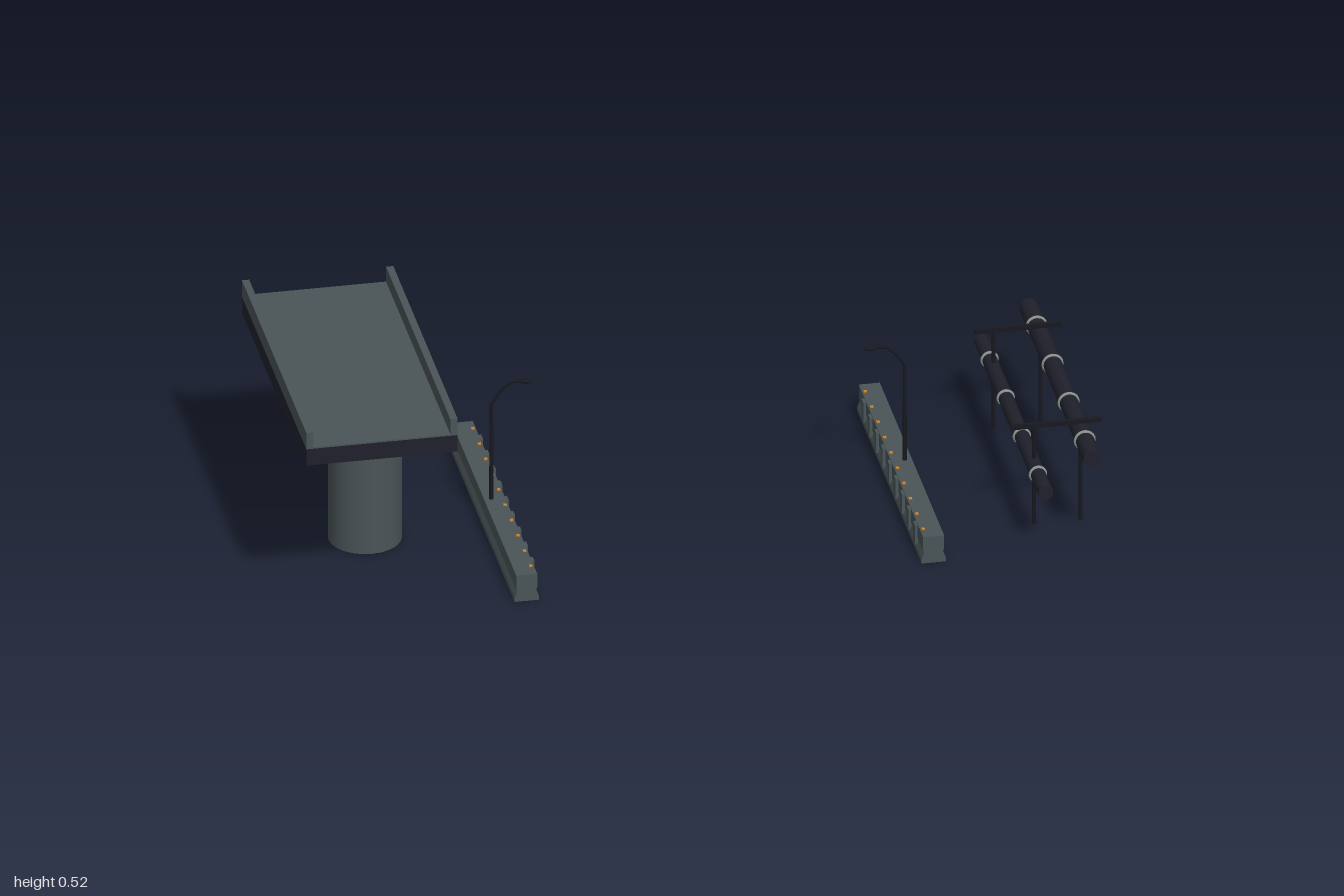
import * as THREE from 'three';

const mat = (name, color, side = THREE.FrontSide) => {
  const m = new THREE.MeshStandardMaterial({ color, side });
  m.name = name;
  return m;
};

export function createModel() {
  const concrete = mat('concrete', 0x4a5456);
  const darkSteel = mat('dark steel', 0x20202c);
  const blackSteel = mat('black steel', 0x18191f);
  const ringMetal = mat('ring metal', 0x87938c);
  const amber = mat('amber lamp', 0xd9821f);

  const root = new THREE.Group();
  root.name = 'roadsideStructures';

  const add = (parent, name, geo, material, x = 0, y = 0, z = 0) => {
    const m = new THREE.Mesh(geo, material);
    m.name = name;
    m.position.set(x, y, z);
    parent.add(m);
    return m;
  };
  const box = (parent, name, material, w, h, d, x, y, z) =>
    add(parent, name, new THREE.BoxGeometry(w, h, d), material, x, y, z);
  const group = (name, x = 0) => {
    const g = new THREE.Group();
    g.name = name;
    g.position.x = x;
    root.add(g);
    return g;
  };

  // Elevated road: pier, cap, dark deck, paving and parapets
  const viaduct = group('viaduct');
  add(viaduct, 'pier', new THREE.CylinderGeometry(0.09, 0.09, 0.415, 24), concrete, -0.775, 0.2075, 0);
  box(viaduct, 'pierCap', concrete, 0.3, 0.03, 0.22, -0.775, 0.428, 0);
  box(viaduct, 'deck', darkSteel, 0.375, 0.045, 0.8, -0.8125, 0.4525, 0);
  box(viaduct, 'paving', concrete, 0.375, 0.004, 0.8, -0.8125, 0.477, 0);
  for (const x of [-0.991, -0.634]) box(viaduct, 'parapet', concrete, 0.018, 0.045, 0.8, x, 0.4975, 0);
  for (const z of [-0.2, 0.2]) {
    box(viaduct, 'lampHousing', blackSteel, 0.03, 0.006, 0.026, -0.775, 0.429, z);
    box(viaduct, 'deckLamp', amber, 0.022, 0.004, 0.018, -0.775, 0.4255, z);
  }

  // Barrier cross-section: flared foot, waist and upright wall
  const section = new THREE.Shape([
    [-0.03, 0], [0.03, 0], [0.03, 0.012], [0.023, 0.03], [0.026, 0.034],
    [0.026, 0.072], [-0.026, 0.072], [-0.026, 0.034], [-0.023, 0.03], [-0.03, 0.012],
  ].map(([x, y]) => new THREE.Vector2(x, y)));
  const wallGeo = new THREE.ExtrudeGeometry(section, { depth: 0.8, bevelEnabled: false });

  // dir points from the barrier towards the road
  for (const dir of [1, -1]) {
    const barrier = group(dir > 0 ? 'rightBarrier' : 'leftBarrier', 0.05 - dir * 0.504);
    add(barrier, 'wall', wallGeo, concrete, 0, 0, -0.4);

    // Ribs on the road face and marker lamps on top
    for (let i = -4; i <= 4; i++) box(barrier, 'rib', concrete, 0.012, 0.054, 0.022, dir * 0.027, 0.043, i * 0.08);
    for (let i = 0; i < 10; i++) box(barrier, 'markerLamp', amber, 0.008, 0.006, 0.008, dir * 0.018, 0.072, -0.36 + i * 0.08);

    // Street lamp with a curved arm reaching over the road
    const lamp = new THREE.Group();
    lamp.name = 'streetLamp';
    lamp.position.x = -dir * 0.008;
    barrier.add(lamp);
    add(lamp, 'post', new THREE.CylinderGeometry(0.0045, 0.0055, 0.27, 8), blackSteel, 0, 0.2, 0);
    const arm = new THREE.CatmullRomCurve3([
      [0, 0.33], [0.012, 0.352], [0.032, 0.376], [0.052, 0.388], [0.078, 0.389],
    ].map(([x, y]) => new THREE.Vector3(dir * x, y, 0)));
    add(lamp, 'arm', new THREE.TubeGeometry(arm, 16, 0.0035, 6), blackSteel);
    const head = add(lamp, 'lampHead', new THREE.SphereGeometry(1, 12, 8), blackSteel, dir * 0.085, 0.388, 0);
    head.scale.set(0.015, 0.006, 0.009);
  }

  // Pipe rack: two pipes with joint rings
  const rack = group('pipeRack');
  const pipes = [
    { name: 'upperPipe', x: 0.948, y: 0.243, r: 0.023 },
    { name: 'lowerPipe', x: 0.832, y: 0.162, r: 0.0185 },
  ];
  for (const { name, x, y, r } of pipes) {
    add(rack, name, new THREE.CylinderGeometry(r, r, 0.8, 16), darkSteel, x, y, 0).rotation.x = Math.PI / 2;
    for (const z of [-0.3, -0.1, 0.1, 0.3])
      add(rack, 'jointRing', new THREE.TorusGeometry(r, 0.0045, 8, 20), ringMetal, x, y, z);
  }

  // Support frames
  for (const z of [-0.25, 0.25]) {
    for (const { x } of pipes)
      add(rack, 'supportPost', new THREE.CylinderGeometry(0.005, 0.005, 0.27, 8), blackSteel, x, 0.135, z);
    box(rack, 'crossbar', blackSteel, 0.215, 0.012, 0.01, 0.8925, 0.27, z);
  }
  return root;
}
